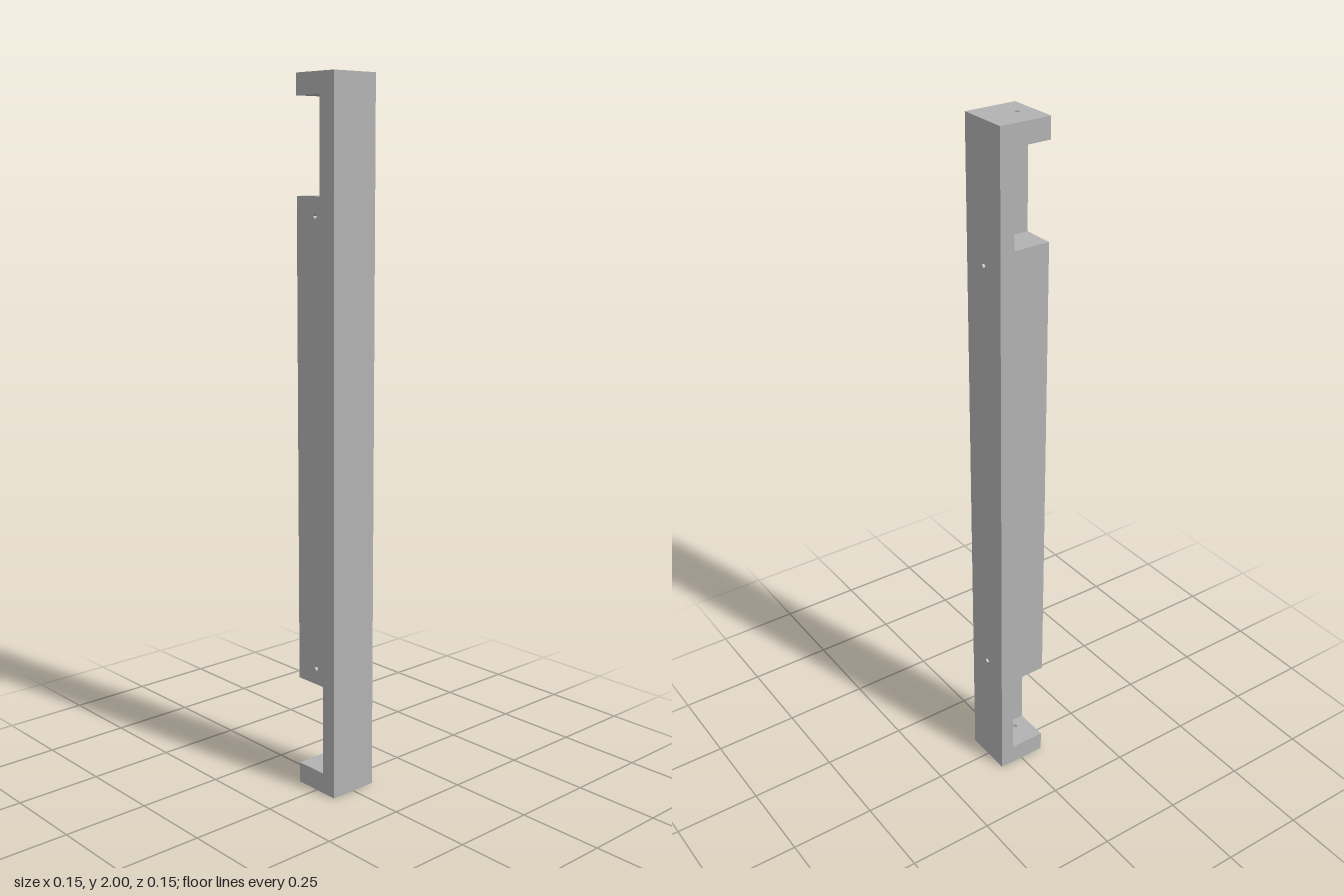
import * as THREE from 'three';

const H = 0.074;        // half width of the square post
const BACK = -0.032;    // z of the pocket back wall
const R = 0.008;        // pilot hole radius

function polygon(points) {
  return new THREE.Shape(points.map(([x, y]) => new THREE.Vector2(x, y)));
}

// Four-sided pilot hole
function addHole(shape, x, y) {
  shape.holes.push(new THREE.Path([[R, 0], [0, -R], [-R, 0], [0, R]]
    .map(([dx, dy]) => new THREE.Vector2(x + dx, y + dy))));
}

export function createModel() {
  const group = new THREE.Group();
  group.name = 'notchedPost';
  const grey = new THREE.MeshStandardMaterial({ color: 0xb2b2b2 });
  grey.name = 'grey';

  function add(name, geometry) {
    const mesh = new THREE.Mesh(geometry, grey);
    mesh.name = name;
    group.add(mesh);
  }

  // Plan outline (x, -z) raised from y0 to y1
  function raise(name, shape, y0, y1) {
    const g = new THREE.ExtrudeGeometry(shape, { depth: y1 - y0, bevelEnabled: false });
    g.rotateX(-Math.PI / 2);
    g.translate(0, y0, 0);
    add(name, g);
  }

  // End blocks, each with a vertical pilot hole
  function endBlock(name, y0, y1) {
    const s = polygon([[-H, -H], [H, -H], [H, H], [-H, H]]);
    addHole(s, 0, -0.028);
    raise(name, s, y0, y1);
  }

  // L-shaped sections around the pockets, open to the front and -x side
  function pocket(name, inner, y0, y1) {
    raise(name, polygon([[inner, -H], [H, -H], [H, H], [-H, H], [-H, -BACK], [inner, -BACK]]), y0, y1);
  }

  endBlock('bottomBlock', 0, 0.06);
  pocket('lowerPocketWalls', 0.027, 0.06, 0.322);
  pocket('upperPocketWalls', 0.018, 1.682, 1.942);
  endBlock('topBlock', 1.942, 2);

  // Solid middle with two holes running front to back
  const middle = polygon([[-H, 0.322], [H, 0.322], [H, 1.682], [-H, 1.682]]);
  for (const y of [0.37, 1.63]) addHole(middle, 0, y);
  const shaft = new THREE.ExtrudeGeometry(middle, { depth: 2 * H, bevelEnabled: false });
  shaft.translate(0, 0, -H);
  add('middleShaft', shaft);

  return group;
}
